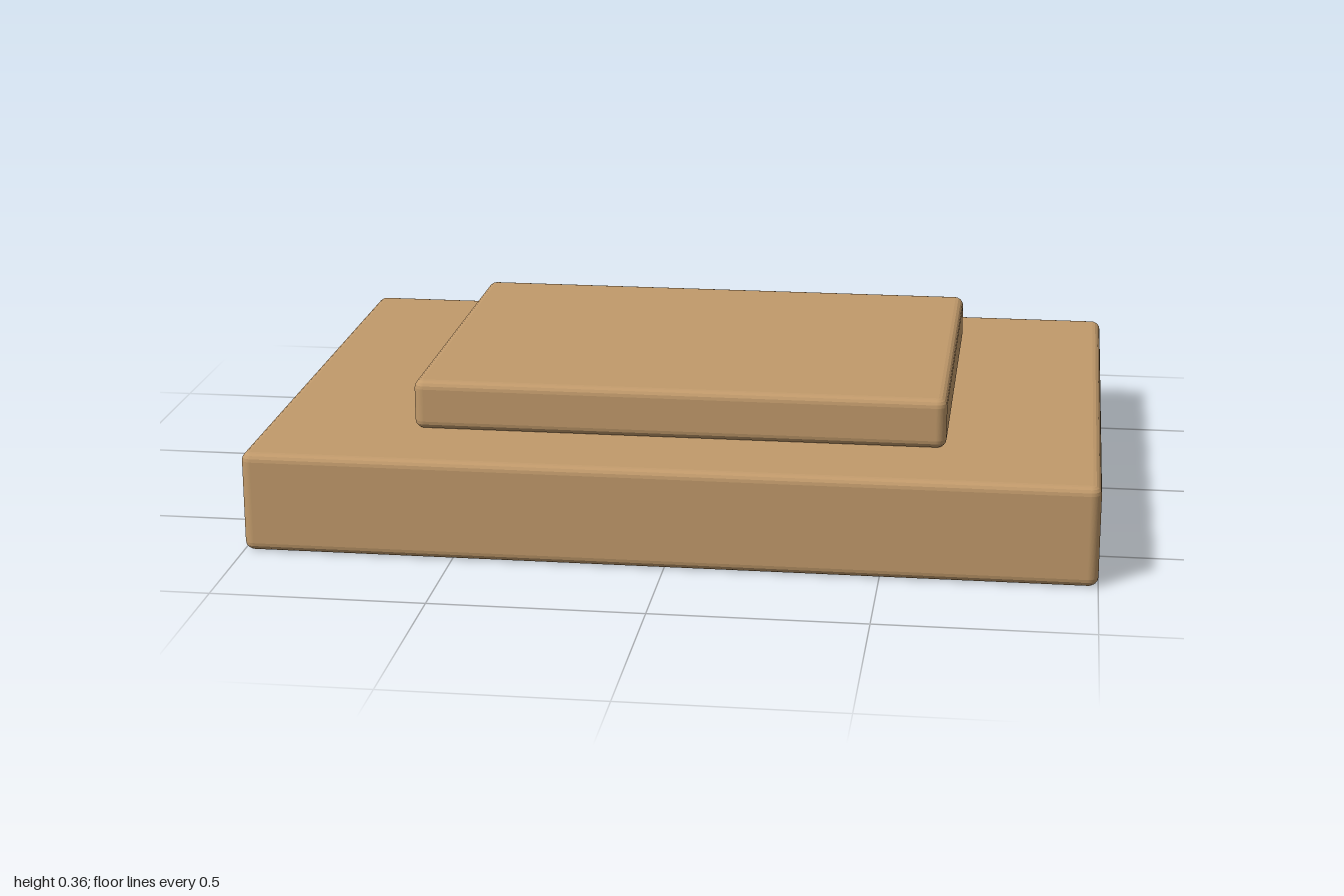
import * as THREE from 'three';

const BEVEL = 0.02;   // rounding of top and bottom edges
const CORNER = 0.025; // rounding of upright edges

// Rounded rectangle in plan; an optional half-round notch is cut in the back edge.
function outline(w, h, notch = 0) {
  const r = CORNER;
  const s = new THREE.Shape();
  s.absarc(-w + r, -h + r, r, Math.PI, 1.5 * Math.PI, false);
  s.absarc(w - r, -h + r, r, -Math.PI / 2, 0, false);
  s.absarc(w - r, h - r, r, 0, Math.PI / 2, false);
  if (notch) {
    // small fillets meet the notch arc tangentially
    const cx = Math.sqrt((notch + r) ** 2 - r * r);
    const a = Math.asin(r / (notch + r));
    s.absarc(cx, h - r, r, Math.PI / 2, Math.PI - a, false);
    s.absarc(0, h, notch, -a, -Math.PI + a, true);
    s.absarc(-cx, h - r, r, a, Math.PI / 2, false);
  }
  s.absarc(-w + r, h - r, r, Math.PI / 2, Math.PI, false);
  s.closePath();
  return s;
}

// Slab lying flat from y0 to y1 with softened edges.
function slab(name, shape, y0, y1, material) {
  const geometry = new THREE.ExtrudeGeometry(shape, {
    depth: y1 - y0 - 2 * BEVEL,
    bevelEnabled: true,
    bevelThickness: BEVEL,
    bevelSize: BEVEL,
    bevelOffset: -BEVEL,
    bevelSegments: 4,
    curveSegments: 10,
  });
  geometry.rotateX(-Math.PI / 2);
  geometry.translate(0, y0 + BEVEL, 0);
  const mesh = new THREE.Mesh(geometry, material);
  mesh.name = name;
  return mesh;
}

export function createModel() {
  const group = new THREE.Group();
  group.name = 'notchedBlock';
  const wood = new THREE.MeshStandardMaterial({ color: 0xc19a6b });

  // Base board with the notch at the back, and the raised panel on top
  group.add(slab('base', outline(1, 0.717, 0.2), 0, 0.24, wood));
  group.add(slab('raisedPanel', outline(0.637, 0.478), 0.24, 0.36, wood));
  return group;
}
